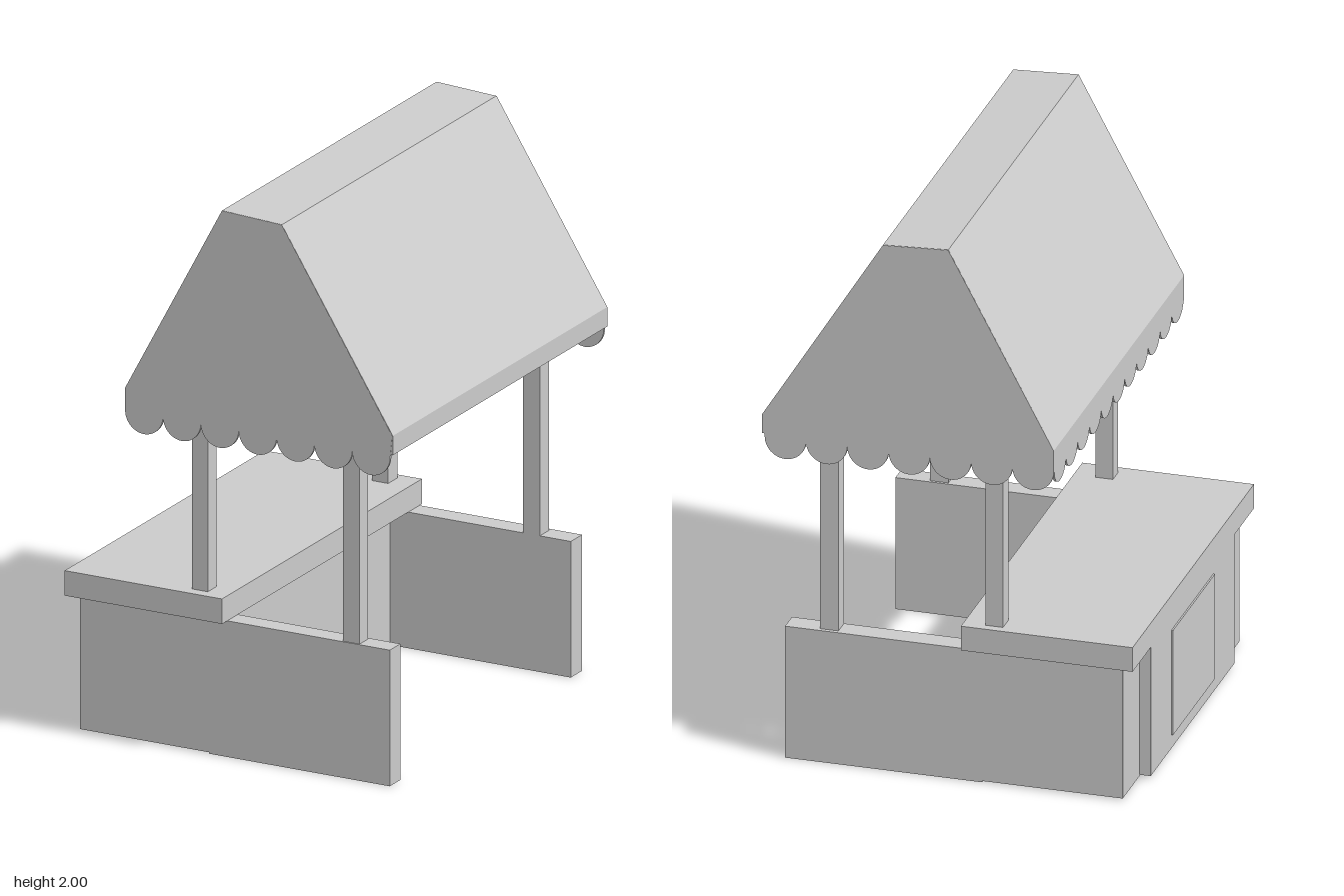
import * as THREE from 'three';

const material = new THREE.MeshStandardMaterial({ color: 0xcccccc, flatShading: true, side: THREE.DoubleSide });

export function createModel() {
  const group = new THREE.Group();

  const add = (name, geometry) => {
    const mesh = new THREE.Mesh(geometry, material);
    mesh.name = name;
    group.add(mesh);
    return mesh;
  };

  // Box given by its limits on each axis
  const box = (name, x0, x1, y0, y1, z0, z1) =>
    add(name, new THREE.BoxGeometry(x1 - x0, y1 - y0, z1 - z0)
      .translate((x0 + x1) / 2, (y0 + y1) / 2, (z0 + z1) / 2));

  // Outline in the x-y plane, extruded from z0 to z1
  const slab = (name, shape, z0, z1) =>
    add(name, new THREE.ExtrudeGeometry(shape, { depth: z1 - z0, bevelEnabled: false, curveSegments: 12 })
      .translate(0, 0, z0));

  const polygon = (points) => new THREE.Shape(points.map(([x, y]) => new THREE.Vector2(x, y)));

  // Continues a shape with a row of hanging half ellipses, from a to b at height y
  const scallops = (shape, a, b, y, drop, count) => {
    const w = (b - a) / count;
    for (let i = 0; i < count; i++) {
      shape.absellipse(a + (i + 0.5) * w, y, w / 2, drop, Math.PI, 2 * Math.PI, false, 0);
    }
  };

  // Stall body, side walls and counter
  box('counterBody', -0.61, -0.11, 0.005, 0.49, -0.695, 0.665);
  box('counterTop', -0.65, -0.04, 0.49, 0.58, -0.712, 0.702);
  box('counterFrontBoard', -0.65, -0.61, 0.01, 0.49, -0.5, 0.475);
  box('counterSign', -0.656, -0.65, 0.06, 0.45, -0.26, 0.23);
  box('frontWall', -0.11, 0.59, 0, 0.49, 0.59, 0.665);
  box('backWall', -0.11, 0.59, 0, 0.49, -0.695, -0.615);

  // Posts, cut to the slope of the roof, and the beams beside them
  for (const [side, z0, z1, b0, b1] of [['front', 0.6, 0.66, 0.555, 0.6], ['back', -0.68, -0.615, -0.615, -0.575]]) {
    slab(side + 'CounterPost', polygon([[-0.18, 0.58], [-0.118, 0.58], [-0.118, 1.78], [-0.18, 1.665]]), z0, z1);
    slab(side + 'WallPost', polygon([[0.405, 0.49], [0.47, 0.49], [0.47, 1.575], [0.405, 1.68]]), z0, z1);
    box(side + 'Beam', -0.34, 0.6, 1.195, 1.235, b0, b1);
  }

  // Roof: thin sheet folded over the ridge, with a straight fascia on one side
  slab('roof', polygon([
    [-0.385, 1.23], [-0.385, 1.3], [-0.01, 2], [0.222, 1.988], [0.652, 1.3], [0.652, 1.23],
    [0.642, 1.23], [0.642, 1.297], [0.217, 1.978], [-0.004, 1.99], [-0.375, 1.297], [-0.375, 1.23],
  ]), -0.76, 0.757);

  // Gables with a scalloped lower edge
  for (const [name, z0, z1] of [['frontGable', 0.749, 0.758], ['backGable', -0.762, -0.753]]) {
    const shape = new THREE.Shape();
    shape.moveTo(-0.385, 1.22);
    scallops(shape, -0.385, 0.642, 1.22, 0.075, 7);
    [[0.65, 1.3], [0.222, 1.987], [-0.01, 1.999], [-0.385, 1.3]].forEach(([x, y]) => shape.lineTo(x, y));
    slab(name, shape, z0, z1);
  }

  // Scalloped valance over the counter
  const valance = new THREE.Shape();
  valance.moveTo(-0.755, 1.24);
  valance.lineTo(-0.755, 1.22);
  scallops(valance, -0.755, 0.752, 1.22, 0.06, 11);
  valance.lineTo(0.752, 1.24);
  add('counterValance', new THREE.ExtrudeGeometry(valance, { depth: 0.008, bevelEnabled: false, curveSegments: 12 })
    .rotateY(-Math.PI / 2).translate(-0.377, 0, 0));

  return group;
}
